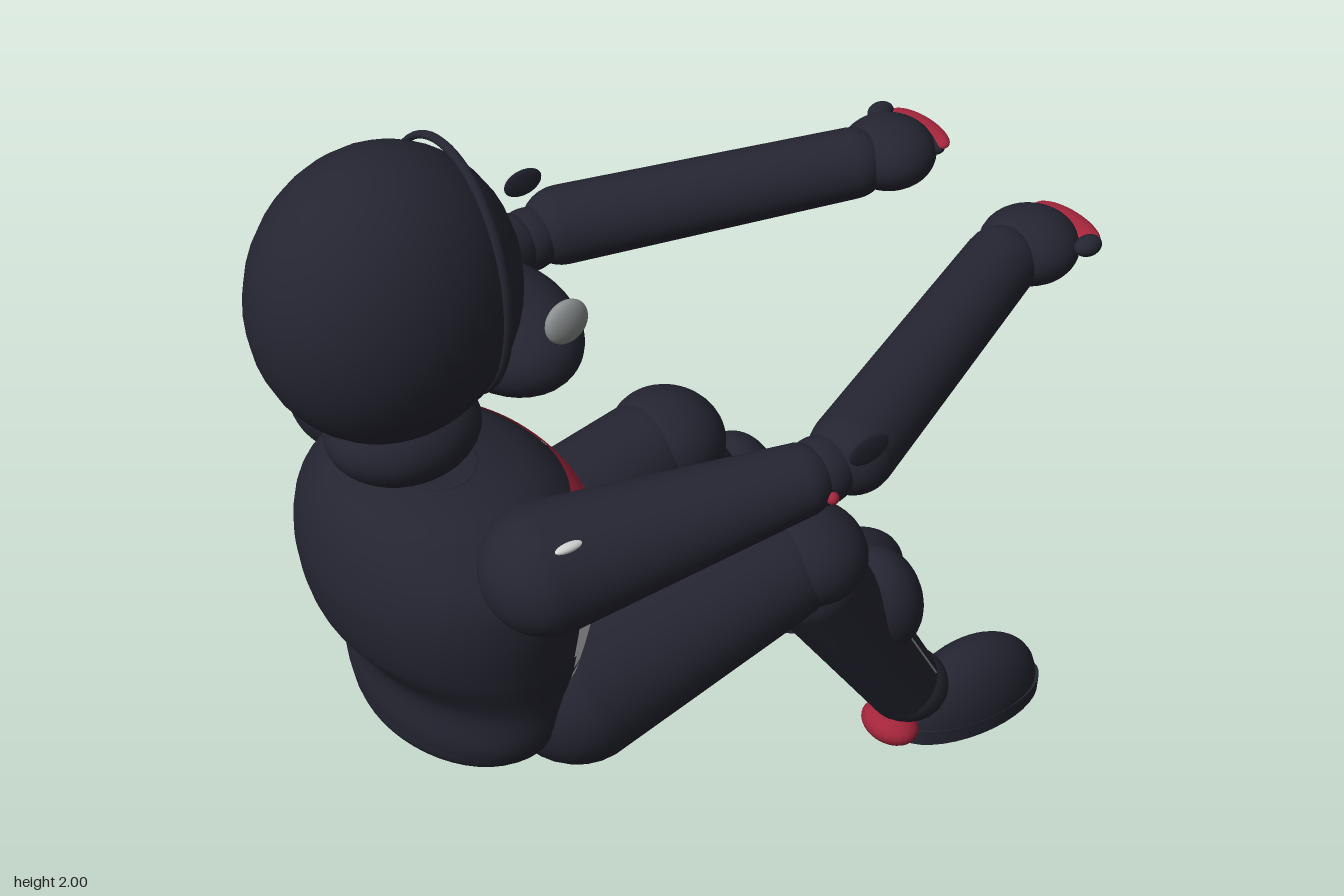
import * as THREE from 'three';
import { ParametricGeometry } from 'three/addons/geometries/ParametricGeometry.js';

const V = (x, y, z) => new THREE.Vector3(x, y, z);
const rad = THREE.MathUtils.degToRad;

export function createModel() {
  const model = new THREE.Group();
  const paint = (name, color) => {
    const m = new THREE.MeshStandardMaterial({ color, side: THREE.DoubleSide });
    m.name = name;
    return m;
  };
  const navy = paint('navy suit', 0x252532);
  const red = paint('red trim', 0xa3253b);
  const white = paint('white trim', 0xd2d4d2);
  const grey = paint('grey metal', 0x8c9090);

  const add = (name, geometry, material, parent = model) => {
    const mesh = new THREE.Mesh(geometry, material);
    mesh.name = name;
    parent.add(mesh);
    return mesh;
  };

  // Ellipsoid with centre c, radii r and a tilt about z
  const blob = (name, c, r, material, parent, tilt = 0) => {
    const mesh = add(name, new THREE.SphereGeometry(1, 32, 22), material, parent);
    mesh.scale.set(...r);
    mesh.rotation.z = tilt;
    mesh.position.set(...c);
    return mesh;
  };

  // Tapered limb with rounded ends, running from a to b
  const limb = (name, a, b, ra, rb, material, parent) => {
    const len = a.distanceTo(b), pts = [], n = 8;
    for (let i = 0; i <= n; i++) {
      const t = (i / n) * Math.PI / 2;
      pts.push(new THREE.Vector2(ra * Math.sin(t), -ra * Math.cos(t)));
    }
    for (let i = 0; i <= n; i++) {
      const t = (i / n) * Math.PI / 2;
      pts.push(new THREE.Vector2(rb * Math.cos(t), len + rb * Math.sin(t)));
    }
    const mesh = add(name, new THREE.LatheGeometry(pts, 28), material, parent);
    mesh.position.copy(a);
    mesh.quaternion.setFromUnitVectors(V(0, 1, 0), b.clone().sub(a).normalize());
    return mesh;
  };

  const tube = (name, points, r, material, parent) =>
    add(name, new THREE.TubeGeometry(new THREE.CatmullRomCurve3(points), 24, r, 8), material, parent);

  // Surface patch p(u, v) over a rectangle of parameters
  const patch = (name, p, u0, u1, v0, v1, material) =>
    add(name, new ParametricGeometry((u, v, out) =>
      out.copy(p(u0 + (u1 - u0) * u, v0 + (v1 - v0) * v)), 24, 12), material);

  // Torso: cross-sections as [y, centre x, radius x, radius z]
  const rings = [
    [0.53, -0.55, 0.10, 0.10], [0.55, -0.58, 0.17, 0.24], [0.62, -0.58, 0.20, 0.32],
    [0.75, -0.57, 0.215, 0.34], [0.87, -0.583, 0.275, 0.365], [1.0, -0.585, 0.30, 0.383],
    [1.1, -0.585, 0.29, 0.37], [1.18, -0.6, 0.245, 0.305], [1.23, -0.615, 0.18, 0.235],
    [1.245, -0.62, 0.1, 0.13],
  ];
  const section = (y) => {
    let i = 0;
    while (i < rings.length - 2 && y > rings[i + 1][0]) i++;
    const t = (y - rings[i][0]) / (rings[i + 1][0] - rings[i][0]);
    const at = (j) => rings[Math.min(Math.max(j, 0), rings.length - 1)];
    return [1, 2, 3].map((k) => {
      const slope = (j) => (at(j + 1)[k] - at(j - 1)[k]) / (at(j + 1)[0] - at(j - 1)[0]);
      const d = at(i + 1)[0] - at(i)[0], t2 = t * t, t3 = t2 * t;
      return (2 * t3 - 3 * t2 + 1) * at(i)[k] + (t3 - 2 * t2 + t) * d * slope(i)
        + (3 * t2 - 2 * t3) * at(i + 1)[k] + (t3 - t2) * d * slope(i + 1);
    });
  };
  const torsoPoint = (grow) => (deg, y) => {
    const [cx, rx, rz] = section(y), a = rad(deg);
    return V(cx + (rx + grow) * Math.cos(a), y, (rz + grow) * Math.sin(a));
  };
  add('torso', new ParametricGeometry((u, v, out) =>
    out.copy(torsoPoint(0)(-u * 360, 0.53 + v * 0.715)), 48, 48), navy);
  // Caps closing the torso at both ends
  for (const [y, cx, rx, rz] of [rings[0], rings[rings.length - 1]])
    blob('torsoCap', [cx, y, 0], [rx, 0.004, rz], navy);

  // Chest stripes and side panels lie just above the torso surface
  const skin = torsoPoint(0.005);
  patch('upperChestStripe', skin, 41, -41, 1.112, 1.165, red);
  patch('lowerChestStripe', skin, 38, -38, 1.055, 1.097, red);
  for (const s of [1, -1]) {
    patch('sidePanel', skin, 48 * s, 70 * s, 0.86, 1.06, white);
    patch('sidePanelTop', skin, 44 * s, 60 * s, 1.06, 1.1, white);
    patch('sidePanelBottom', skin, 55 * s, 68 * s, 0.82, 0.86, white);
    patch('sidePanelTab', skin, 56 * s, 68 * s, 0.79, 0.805, white);
  }

  // Helmet, chin guard and collar
  const helmet = new THREE.Group();
  helmet.name = 'helmet';
  model.add(helmet);
  blob('helmetShell', [-0.69, 1.68, 0], [0.29, 0.32, 0.25], navy, helmet);
  blob('chinGuard', [-0.415, 1.49, 0], [0.147, 0.118, 0.21], navy, helmet, 0.1);
  blob('collar', [-0.67, 1.345, 0], [0.17, 0.11, 0.15], navy, helmet);
  const rim = add('visorRim', new THREE.TorusGeometry(1, 0.03, 10, 64), navy, helmet);
  rim.rotation.y = Math.PI / 2;
  rim.scale.set(0.222, 0.285, 0.35);
  rim.position.set(-0.54, 1.69, 0);
  for (const s of [1, -1])
    blob('visorBolt', [-0.42, 1.64, 0.245 * s], [0.05, 0.05, 0.022], grey, helmet);

  // Red band down one side of the helmet
  patch('helmetBand', (x, deg) => {
    const k = 1.015 * Math.sqrt(1 - ((x + 0.69) / 0.29) ** 2);
    return V(x, 1.68 + 0.32 * k * Math.cos(rad(deg)), -0.25 * k * Math.sin(rad(deg)));
  }, -0.66, -0.53, 35, 114, red);
  // Curved trim bars on the same side
  const bar = [[-0.395, 1.69, -0.07], [-0.45, 1.7, -0.17], [-0.55, 1.715, -0.243], [-0.66, 1.73, -0.275]];
  tube('upperTrimBar', bar.map((p) => V(...p)), 0.011, white, helmet);
  tube('upperTrimEdge', bar.map(([x, y, z]) => V(x, y + 0.013, z - 0.004)), 0.007, red, helmet);
  tube('lowerTrimBar', [V(-0.395, 1.66, -0.07), V(-0.44, 1.65, -0.17), V(-0.53, 1.635, -0.24)],
    0.013, white, helmet);

  for (const s of [1, -1]) {
    // Arm
    const arm = new THREE.Group();
    arm.name = s > 0 ? 'leftArm' : 'rightArm';
    model.add(arm);
    limb('upperArm', V(-0.575, 1.175, 0.385 * s), V(-0.06, 1.265, 0.545 * s), 0.142, 0.08, navy, arm);
    limb('forearm', V(0.09, 1.275, 0.54 * s), V(0.73, 1.35, 0.265 * s), 0.094, 0.085, navy, arm);
    blob('elbow', [0.0, 1.265, 0.545 * s], [0.08, 0.075, 0.075], navy, arm);
    blob('elbowPad', [0.05, 1.355, 0.638 * s], [0.052, 0.035, 0.007], navy, arm);
    blob('elbowDot', [-0.025, 1.252, 0.62 * s], [0.014, 0.014, 0.014], red, arm);
    blob('shoulderBadge', [-0.575, 1.286, 0.472 * s], [0.035, 0.01, 0.012], white, arm);
    tube('wristMark', [V(0.65, 1.325, 0.38 * s), V(0.72, 1.337, 0.353 * s)], 0.006, white, arm);
    // Glove
    blob('hand', [0.83, 1.355, 0.25 * s], [0.115, 0.085, 0.115], navy, arm);
    blob('knuckles', [0.92, 1.368, 0.25 * s], [0.04, 0.03, 0.09], navy, arm);
    blob('fingers', [0.932, 1.378, 0.26 * s], [0.038, 0.021, 0.105], red, arm, 0.2);
    blob('thumb', [0.9, 1.385, 0.365 * s], [0.035, 0.024, 0.026], navy, arm);

    // Leg
    const leg = new THREE.Group();
    leg.name = s > 0 ? 'leftLeg' : 'rightLeg';
    model.add(leg);
    const kneeEnd = V(0.22, 0.69, 0.27 * s), ankleEnd = V(0.53, 0.2, 0.26 * s);
    limb('thigh', V(-0.4, 0.643, 0.22 * s), V(0.12, 0.757, 0.265 * s), 0.172, 0.128, navy, leg);
    blob('knee', [0.2, 0.775, 0.27 * s], [0.142, 0.12, 0.142], navy, leg, -0.25);
    limb('shin', kneeEnd, ankleEnd, 0.122, 0.095, navy, leg);
    blob('shinPad', [0.425, 0.535, 0.275 * s], [0.095, 0.145, 0.112], navy, leg, 0.2);
    // Seams along the front of the shin
    for (const side of [1, -1]) {
      const at = (t) => kneeEnd.clone().lerp(ankleEnd, t).add(
        V(0.845, 0.535, side).multiplyScalar((0.122 - 0.027 * t) * 0.707));
      tube('shinSeam', [at(0.3), at(0.6), at(0.95)], 0.003, grey, leg);
    }
    // Boot
    blob('ankle', [0.545, 0.19, 0.26 * s], [0.1, 0.09, 0.1], navy, leg);
    blob('heel', [0.495, 0.09, 0.26 * s], [0.065, 0.046, 0.08], red, leg, -0.2);
    const upper = add('bootUpper',
      new THREE.SphereGeometry(1, 32, 14, 0, Math.PI * 2, 0, Math.PI / 2), navy, leg);
    upper.scale.set(0.212, 0.17, 0.105);
    upper.position.set(0.745, 0.045, 0.26 * s);
    const sole = add('bootSole', new THREE.CylinderGeometry(1, 1, 0.042, 36), navy, leg);
    sole.scale.set(0.222, 1, 0.106);
    sole.rotation.z = -0.045;
    sole.position.set(0.748, 0.032, 0.26 * s);
  }
  return model;
}
